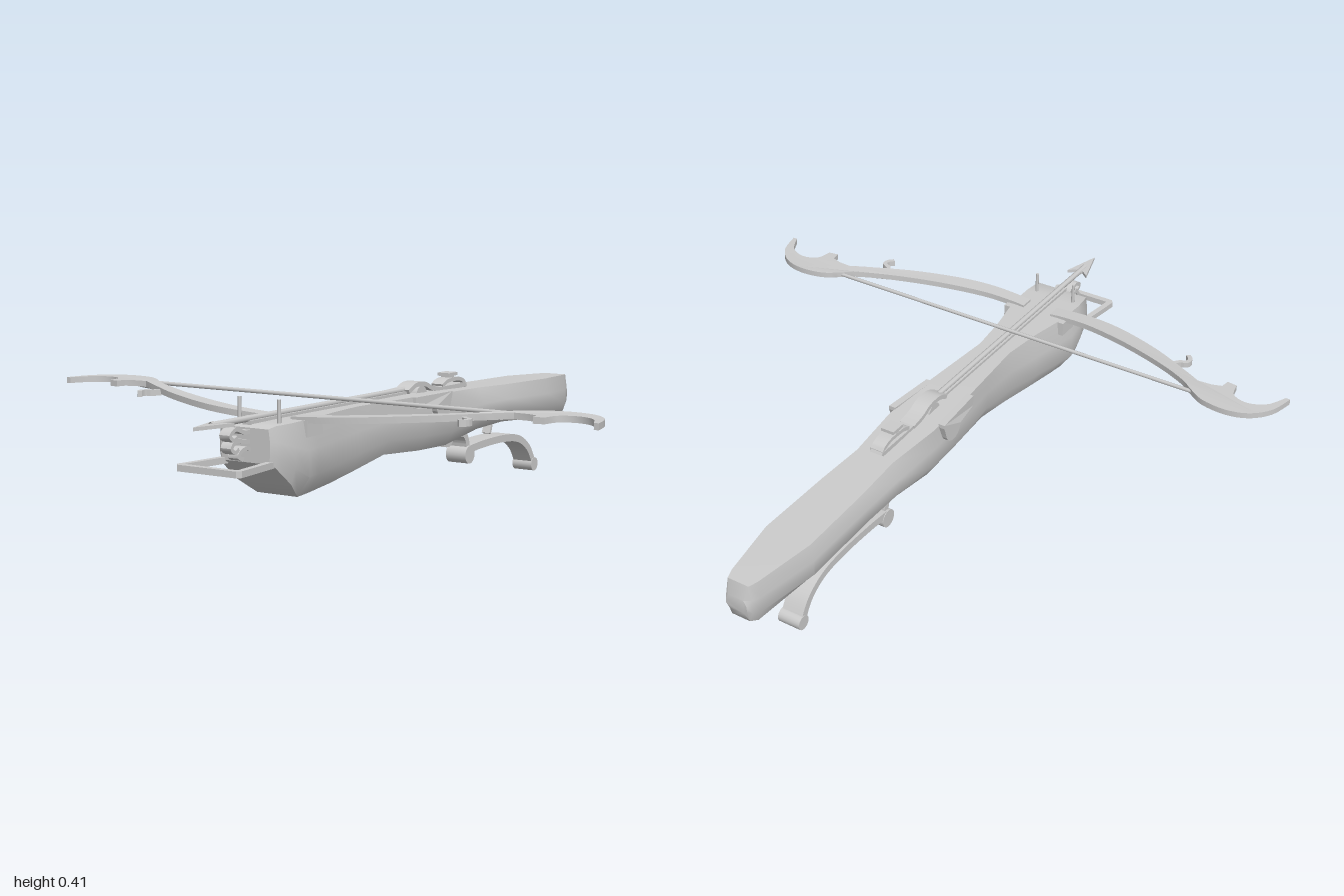
import * as THREE from 'three';
import { toCreasedNormals } from 'three/addons/utils/BufferGeometryUtils.js';

const material = new THREE.MeshStandardMaterial({ color: 0xcccccc, side: THREE.DoubleSide });
const vectors = (pts) => pts.map(([x, y]) => new THREE.Vector2(x, y));

function add(parent, name, geometry, x = 0, y = 0, z = 0) {
  const mesh = new THREE.Mesh(geometry, material);
  mesh.name = name;
  mesh.position.set(x, y, z);
  parent.add(mesh);
  return mesh;
}

// Side outline of [z, y] points, extruded across x and centred on x = 0
function sidePlate(pts, width) {
  const g = new THREE.ExtrudeGeometry(new THREE.Shape(vectors(pts)), { depth: width, bevelEnabled: false });
  return toCreasedNormals(g.translate(0, 0, -width / 2).rotateY(-Math.PI / 2), 0.6);
}

// Top outline of [x, z] points, extruded in y and centred on y = 0
function topPlate(pts, height) {
  const g = new THREE.ExtrudeGeometry(new THREE.Shape(vectors(pts)), { depth: height, bevelEnabled: false });
  return g.translate(0, 0, -height / 2).rotateX(Math.PI / 2);
}

// Outline of a bent strip of constant thickness around a smooth path
function stripOutline(path, thickness, steps = 20) {
  const curve = new THREE.SplineCurve(vectors(path));
  const a = [], b = [];
  for (let i = 0; i <= steps; i++) {
    const p = curve.getPoint(i / steps), t = curve.getTangent(i / steps);
    const nx = -t.y * thickness / 2, ny = t.x * thickness / 2;
    a.push([p.x + nx, p.y + ny]);
    b.unshift([p.x - nx, p.y - ny]);
  }
  return [...a, ...b];
}

function rod(from, to, radius, sides = 8) {
  const path = new THREE.LineCurve3(new THREE.Vector3(...from), new THREE.Vector3(...to));
  return new THREE.TubeGeometry(path, 1, radius, sides);
}

// Lofted stock: z, top, bottom, top half width, middle half width, bottom half width
function stockGeometry() {
  const stations = [
    [-0.995, 0.27, 0.225, 0.025, 0.035, 0.025],
    [-0.98, 0.313, 0.19, 0.035, 0.042, 0.03],
    [-0.95, 0.315, 0.175, 0.045, 0.05, 0.035],
    [-0.76, 0.322, 0.187, 0.075, 0.086, 0.055],
    [-0.5, 0.328, 0.203, 0.07, 0.086, 0.055],
    [-0.34, 0.333, 0.198, 0.062, 0.085, 0.055],
    [-0.15, 0.34, 0.17, 0.08, 0.085, 0.055],
    [0, 0.345, 0.172, 0.078, 0.08, 0.05],
    [0.18, 0.345, 0.183, 0.065, 0.066, 0.045],
    [0.33, 0.345, 0.155, 0.054, 0.06, 0.04],
    [0.46, 0.345, 0.14, 0.068, 0.08, 0.05],
    [0.58, 0.345, 0.132, 0.09, 0.1, 0.063],
    [0.64, 0.345, 0.13, 0.096, 0.112, 0.07],
    [0.7, 0.344, 0.175, 0.098, 0.11, 0.095],
    [0.765, 0.343, 0.23, 0.092, 0.098, 0.092],
    [0.778, 0.335, 0.24, 0.08, 0.085, 0.08],
  ];
  const pos = [], index = [], n = 8;
  for (const [z, t, b, wt, w, wb] of stations) {
    const lo = b + (t - b) * 0.27, hi = b + (t - b) * 0.62;
    const half = [[wb, b], [w, lo], [w, hi], [wt, t]];
    for (const [x, y] of [[-wb, b], ...half, [-wt, t], [-w, hi], [-w, lo]]) pos.push(x, y, z);
  }
  const last = (stations.length - 1) * n;
  for (let i = 0; i < last; i += n) {
    for (let j = 0; j < n; j++) {
      const k = (j + 1) % n;
      index.push(i + j, i + k, i + n + k, i + j, i + n + k, i + n + j);
    }
  }
  for (let j = 1; j < n - 1; j++) index.push(0, j + 1, j, last, last + j, last + j + 1);
  const g = new THREE.BufferGeometry();
  g.setAttribute('position', new THREE.Float32BufferAttribute(pos, 3));
  g.setIndex(index);
  return toCreasedNormals(g, 0.75);
}

// Bow limb with its scrolled tip, rising gently away from the stock
function limbGeometry(side) {
  const rear = new THREE.SplineCurve(vectors([[0.05, 0.595], [0.1, 0.597], [0.2, 0.588], [0.35, 0.547],
    [0.5, 0.488], [0.6, 0.435], [0.645, 0.4], [0.7, 0.365], [0.78, 0.354], [0.85, 0.375], [0.9, 0.43], [0.922, 0.508]]));
  const inner = new THREE.SplineCurve(vectors([[0.908, 0.508], [0.875, 0.447], [0.82, 0.422], [0.77, 0.44], [0.757, 0.49]]));
  const front = new THREE.SplineCurve(vectors([[0.645, 0.452], [0.58, 0.49], [0.45, 0.56], [0.3, 0.618], [0.18, 0.642], [0.05, 0.642]]));
  const pts = [...rear.getPoints(44), ...inner.getPoints(14), { x: 0.725, y: 0.495 }, { x: 0.72, y: 0.465 },
    { x: 0.69, y: 0.455 }, ...front.getPoints(24)];
  const g = topPlate(pts.map((p) => [p.x * side, p.y]), 0.018);
  const p = g.attributes.position;
  for (let i = 0; i < p.count; i++) {
    p.setY(i, p.getY(i) + 0.34 + 0.037 * Math.min(Math.abs(p.getX(i)) / 0.63, 1));
  }
  return toCreasedNormals(g, 0.6);
}

export function createModel() {
  const model = new THREE.Group();
  model.name = 'crossbow';
  add(model, 'stock', stockGeometry());

  // Bow, mirrored left and right
  for (const side of [1, -1]) {
    const label = side > 0 ? 'left' : 'right';
    add(model, label + 'Limb', limbGeometry(side));
    const hook = stripOutline([[0.53, 0.515], [0.545, 0.535], [0.565, 0.545], [0.567, 0.565], [0.552, 0.582]], 0.014, 10);
    add(model, label + 'LimbHook', topPlate(hook.map(([x, z]) => [x * side, z]), 0.018), 0, 0.366, 0);
    add(model, label + 'LimbMount', new THREE.BoxGeometry(0.025, 0.045, 0.07), side * 0.098, 0.322, 0.61);
    add(model, label + 'SightPin', new THREE.CylinderGeometry(0.005, 0.006, 0.08, 8), side * 0.068, 0.368, 0.715);
    // Side plate with a round lobe over the nut
    const lobe = [[0.065, 0.345], [0.065, 0.31], [-0.03, 0.308]];
    for (let i = 0; i <= 10; i++) {
      const a = Math.PI * (1.05 + 0.9 * i / 10);
      lobe.push([-0.07 - 0.04 * Math.cos(a + Math.PI) * -1 * -1, 0.31 + 0.04 * Math.sin(a)]);
    }
    // Keep the lobe points running from front to rear
    const arc = lobe.splice(3).sort((p, q) => q[0] - p[0]);
    const plate = add(model, label + 'NutPlate', sidePlate([...lobe, ...arc, [-0.12, 0.335], [-0.12, 0.347]], 0.022), side * 0.088, 0, 0);
    plate.geometry.translate(0, 0, 0);
    const p = plate.geometry.attributes.position;
    for (let i = 0; i < p.count; i++) p.setX(i, p.getX(i) - side * Math.max(0, p.getZ(i) + 0.03) * 0.15);
    plate.geometry.computeVertexNormals();
  }
  add(model, 'bowString', rod([-0.65, 0.376, 0.402], [0.65, 0.376, 0.406], 0.006));

  // Bolt, its rail and the barbed head
  add(model, 'boltRail', new THREE.BoxGeometry(0.03, 0.012, 0.77), 0, 0.347, 0.385);
  add(model, 'boltShaft', rod([0, 0.357, 0], [0, 0.357, 0.92], 0.009));
  add(model, 'boltHead', topPlate([[0, 0.99], [0.036, 0.865], [0.012, 0.885], [0, 0.87], [-0.012, 0.885], [-0.036, 0.865]], 0.01), 0, 0.355, 0);

  // Foot stirrup
  const stirrup = new THREE.Shape(vectors([[-0.085, 0.74], [0.085, 0.74], [0.11, 0.93], [0.1, 0.942], [-0.1, 0.942], [-0.11, 0.93]]));
  stirrup.holes.push(new THREE.Path(vectors([[-0.068, 0.755], [-0.09, 0.922], [0.09, 0.922], [0.068, 0.755]])));
  const frame = new THREE.ExtrudeGeometry(stirrup, { depth: 0.018, bevelEnabled: false });
  add(model, 'stirrup', frame.rotateX(Math.PI / 2), 0, 0.247, 0);

  // Curled ornament on the nose
  const curls = [
    [[0.76, 0.325], [0.8, 0.325], [0.835, 0.337], [0.86, 0.322], [0.845, 0.308], [0.83, 0.315]],
    [[0.76, 0.295], [0.8, 0.3], [0.835, 0.305], [0.855, 0.287], [0.84, 0.275], [0.825, 0.283]],
    [[0.76, 0.27], [0.79, 0.28], [0.815, 0.275], [0.825, 0.26], [0.805, 0.253]],
  ];
  curls.forEach((c, i) => add(model, 'noseCurl' + (i + 1), sidePlate(stripOutline(c, 0.011), 0.035)));

  // Nut cover and rear sight on top of the stock
  add(model, 'nutCover', sidePlate(stripOutline([[0.01, 0.352], [-0.03, 0.369], [-0.08, 0.368], [-0.12, 0.352], [-0.17, 0.342]], 0.014), 0.05));
  add(model, 'nut', new THREE.CylinderGeometry(0.03, 0.03, 0.05, 20).rotateZ(Math.PI / 2), 0, 0.335, -0.06);
  add(model, 'sightBase', new THREE.BoxGeometry(0.046, 0.014, 0.18), 0, 0.342, -0.24);
  add(model, 'sightArch', sidePlate(stripOutline([[-0.19, 0.35], [-0.22, 0.363], [-0.28, 0.365], [-0.315, 0.355], [-0.33, 0.335]], 0.012), 0.042));
  add(model, 'sightPost', new THREE.BoxGeometry(0.04, 0.026, 0.014), 0, 0.372, -0.25);
  add(model, 'sightCap', new THREE.BoxGeometry(0.044, 0.01, 0.05), 0, 0.382, -0.25);

  // Trigger lever hanging below the grip
  const lever = new THREE.Group();
  lever.name = 'triggerLever';
  model.add(lever);
  const bar = [[-0.33, 0.13], [-0.42, 0.137], [-0.55, 0.138], [-0.65, 0.125], [-0.72, 0.085], [-0.76, 0.025]];
  add(lever, 'leverBar', sidePlate(stripOutline(bar, 0.024, 28), 0.07));
  add(lever, 'leverNeck', sidePlate(stripOutline([[-0.33, 0.12], [-0.325, 0.16], [-0.3, 0.185], [-0.24, 0.185]], 0.02), 0.06));
  add(lever, 'leverPivot', new THREE.CylinderGeometry(0.029, 0.029, 0.074, 20).rotateZ(Math.PI / 2), 0, 0.113, -0.33);
  add(lever, 'leverEnd', new THREE.CylinderGeometry(0.023, 0.023, 0.074, 20).rotateZ(Math.PI / 2), 0, 0.023, -0.76);
  add(model, 'lowerHook', sidePlate(stripOutline([[-0.27, 0.19], [-0.245, 0.175], [-0.225, 0.16], [-0.205, 0.16]], 0.014, 10), 0.05));
  add(model, 'lowerPin', sidePlate(stripOutline([[-0.51, 0.21], [-0.505, 0.185], [-0.495, 0.16]], 0.01, 8), 0.03));
  return model;
}
